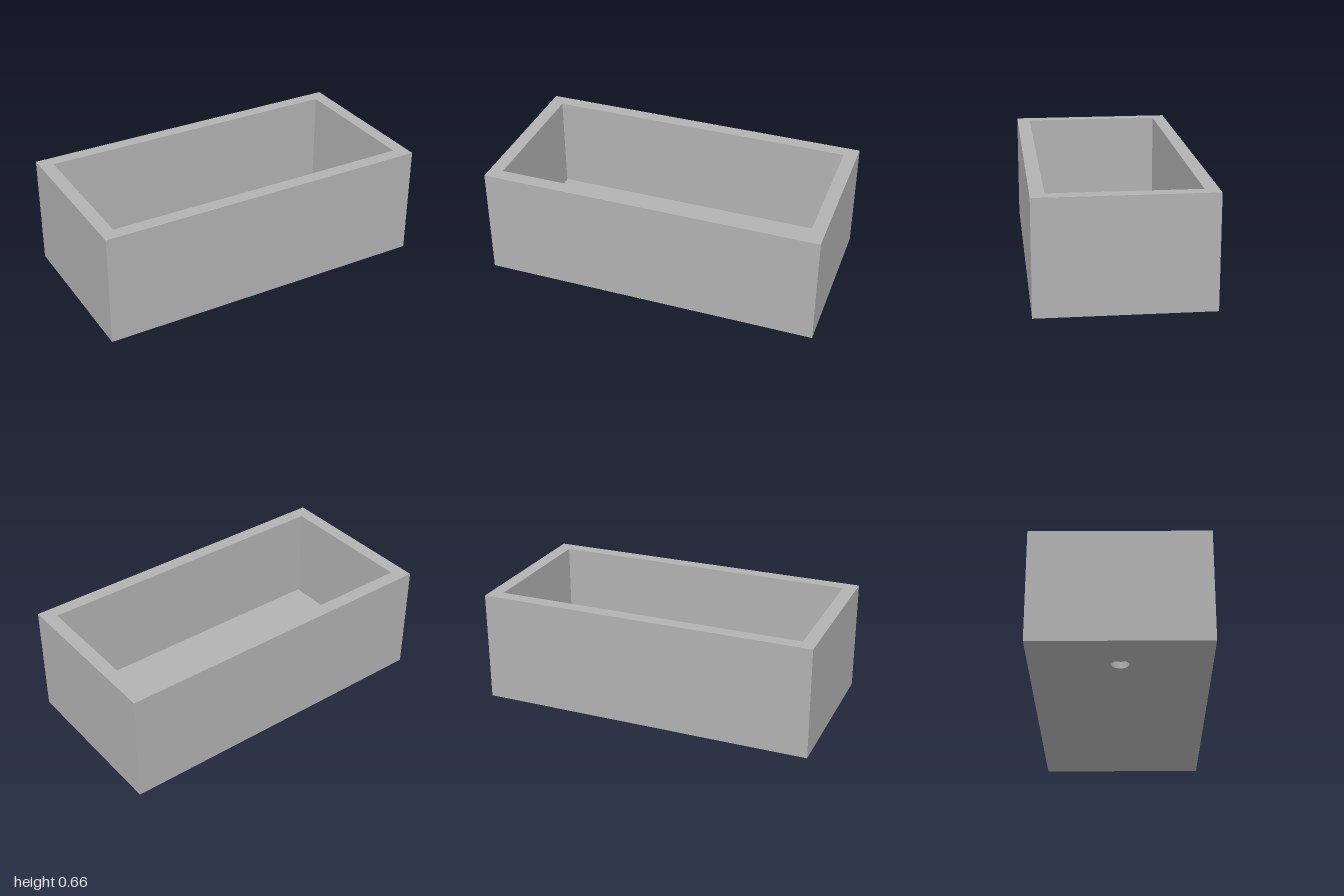
import * as THREE from 'three';
import { mergeGeometries } from 'three/addons/utils/BufferGeometryUtils.js';

const W = 2, D = 1, H = 0.66, WALL = 0.08, FLOOR = 0.08;
const HOLE = { x: -0.71, z: 0, r: 0.05, depth: 0.04 };

// Rectangle outline centred on the origin
function rectangle(w, d, Kind = THREE.Shape) {
  return new Kind([[-1, -1], [1, -1], [1, 1], [-1, 1]]
    .map(([x, y]) => new THREE.Vector2(x * w / 2, y * d / 2)));
}

// Flat horizontal face at height y, facing up or down
function level(shape, y, up = true) {
  return new THREE.ShapeGeometry(shape, 48).rotateX(up ? -Math.PI / 2 : Math.PI / 2).translate(0, y, 0);
}

// Four vertical faces around a rectangle, facing outward or inward
function sides(w, d, y0, y1, inward = false) {
  const faces = [0, 1, 2, 3].map((i) => {
    const face = new THREE.PlaneGeometry(i % 2 ? d : w, y1 - y0);
    if (inward) face.rotateY(Math.PI);
    return face.translate(0, (y0 + y1) / 2, (i % 2 ? w : d) / 2).rotateY(i * Math.PI / 2);
  });
  return mergeGeometries(faces);
}

export function createModel() {
  const model = new THREE.Group();
  model.name = 'trough';
  const grey = new THREE.MeshStandardMaterial({ color: 0xb2b2b2 });
  grey.name = 'grey';

  const add = (name, geometry, material = grey) => {
    const mesh = new THREE.Mesh(geometry, material);
    mesh.name = name;
    model.add(mesh);
  };

  const innerW = W - 2 * WALL, innerD = D - 2 * WALL;

  // Walls and the flat rim joining them
  add('outerWalls', sides(W, D, 0, H));
  add('innerWalls', sides(innerW, innerD, FLOOR, H, true));
  const rim = rectangle(W, D);
  rim.holes.push(rectangle(innerW, innerD, THREE.Path));
  add('rim', level(rim, H));

  // Inside floor
  add('floor', level(rectangle(innerW, innerD), FLOOR));

  // Underside with a round blind hole near one end
  const underside = rectangle(W, D);
  const circle = new THREE.Path();
  circle.absarc(HOLE.x, HOLE.z, HOLE.r, 0, Math.PI * 2, true);
  underside.holes.push(circle);
  add('underside', level(underside, 0, false));

  // Hole wall, turned to face inward, and its closed end
  const holeWall = new THREE.CylinderGeometry(HOLE.r, HOLE.r, HOLE.depth, 48, 1, true);
  holeWall.scale(-1, 1, 1).translate(HOLE.x, HOLE.depth / 2, HOLE.z);
  const normals = holeWall.attributes.normal;
  for (let i = 0; i < normals.count; i++) {
    const p = holeWall.attributes.position;
    normals.setXYZ(i, (HOLE.x - p.getX(i)) / HOLE.r, 0, (HOLE.z - p.getZ(i)) / HOLE.r);
  }
  add('holeWall', holeWall);
  add('holeEnd', new THREE.CircleGeometry(HOLE.r, 48).rotateX(Math.PI / 2).translate(HOLE.x, HOLE.depth, HOLE.z));

  return model;
}
